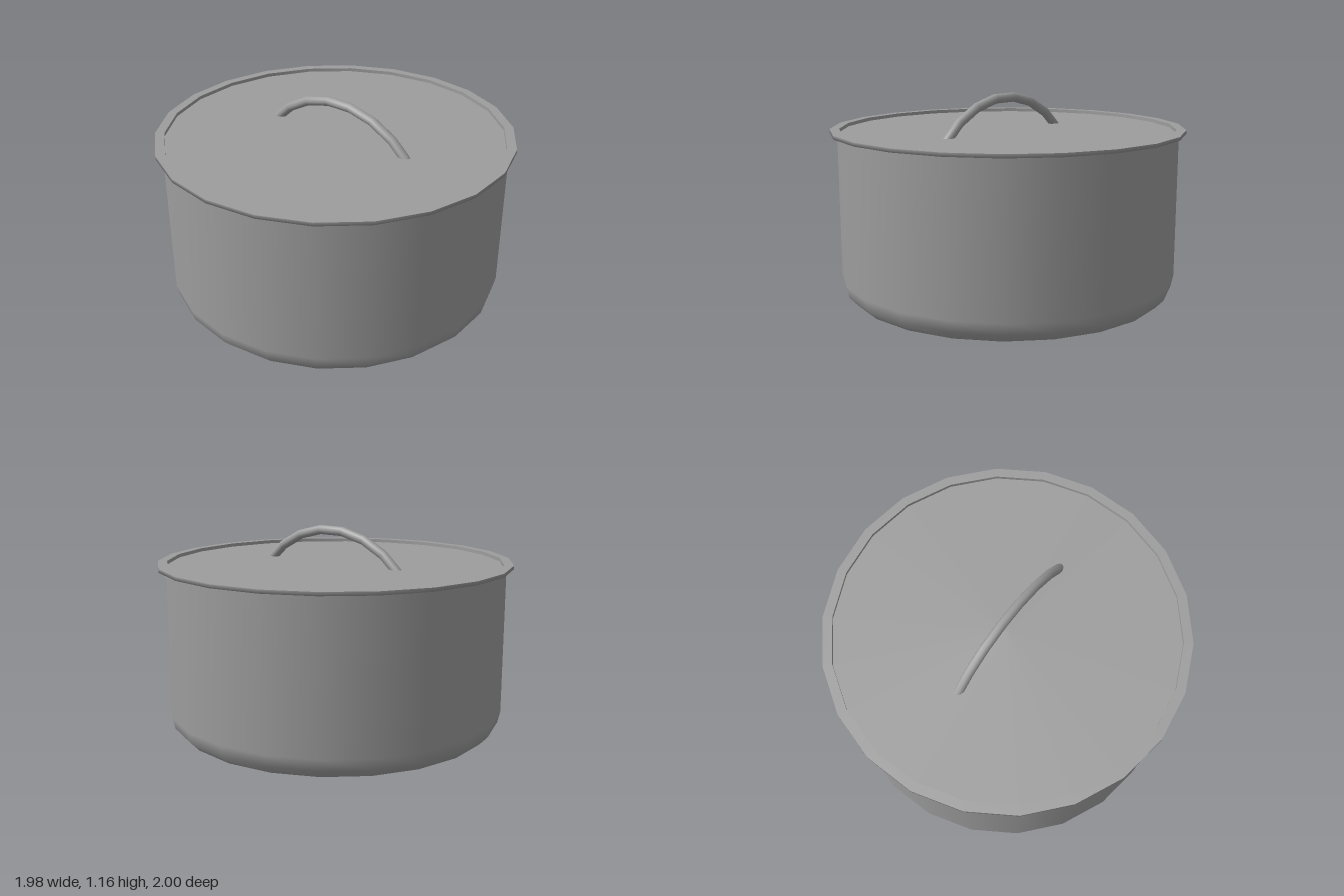
import * as THREE from 'three';

const SIDES = 22;
const material = new THREE.MeshStandardMaterial({ color: 0x9d9d9d, side: THREE.DoubleSide });

// Revolve a [radius, height] profile around the y axis
function turned(name, profile) {
  const points = profile.map(([r, y]) => new THREE.Vector2(r, y));
  const mesh = new THREE.Mesh(new THREE.LatheGeometry(points, SIDES), material);
  mesh.name = name;
  return mesh;
}

// Arched handle: a circular arc whose ends sink into the lid
function makeHandle() {
  const radius = 0.614, centerX = 0.027, centerY = 0.526, halfAngle = 0.87;
  const points = [];
  for (let i = 0; i <= 14; i++) {
    const a = -halfAngle + (i / 14) * 2 * halfAngle;
    points.push(new THREE.Vector3(centerX + radius * Math.sin(a), centerY + radius * Math.cos(a), 0));
  }
  const curve = new THREE.CatmullRomCurve3(points);
  const mesh = new THREE.Mesh(new THREE.TubeGeometry(curve, 7, 0.027, 10), material);
  mesh.name = 'lidHandle';
  return mesh;
}

export function createModel() {
  const group = new THREE.Group();
  group.name = 'cookingPot';
  group.add(
    // Base, turning up slightly at its edge
    turned('base', [[0, 0], [0.82, 0], [0.9, 0.022]]),
    // Side wall with a rounded lower edge
    turned('wall', [[0.9, 0.022], [0.945, 0.07], [0.96, 0.135], [0.96, 0.955]]),
    // Thin flared rim: underside and outer edge, top, inner edge
    turned('rimEdge', [[0.96, 0.952], [1, 0.952], [1, 0.972]]),
    turned('rimTop', [[1, 0.972], [0.948, 0.972]]),
    turned('rimInside', [[0.948, 0.972], [0.948, 0.95]]),
    // Lid set just below the rim
    turned('lid', [[0.948, 0.952], [0, 0.952]]),
    makeHandle(),
  );
  return group;
}
